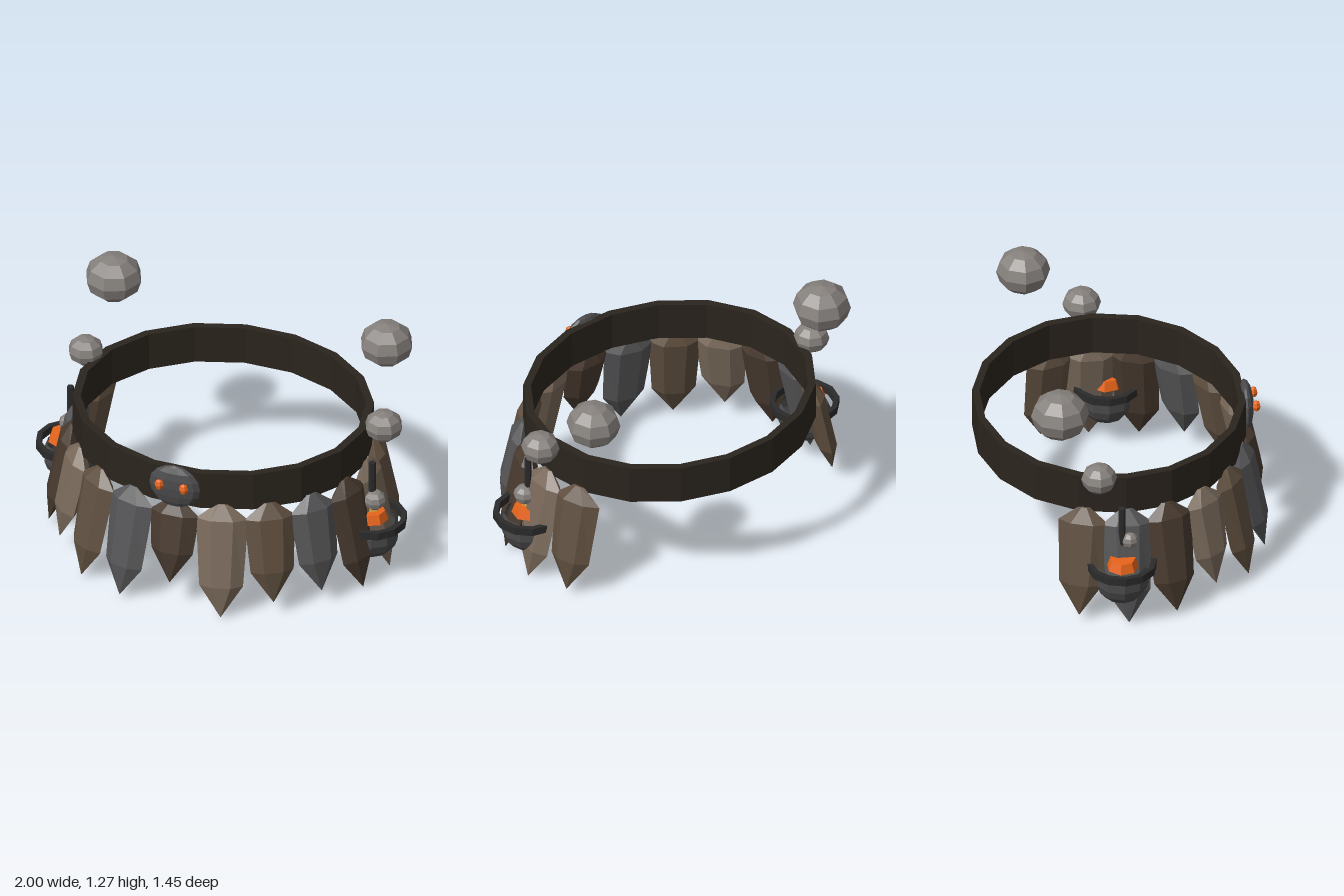
import * as THREE from 'three';

const mat = (color) => new THREE.MeshStandardMaterial({ color, flatShading: true, side: THREE.DoubleSide });
const M = {
  leather: mat(0x2a241d), iron: mat(0x2b2b2b), stone: mat(0x4a4a4c), smoke: mat(0x85807c),
  ember: mat(0xe8641b), flame: mat(0xe0a040),
};
// plate colours repeat around the belt
const plateMats = [mat(0x483a2f), mat(0x79695a), mat(0x5f4f3f), mat(0x555557)];

function add(parent, name, geometry, material, x = 0, y = 0, z = 0) {
  const mesh = new THREE.Mesh(geometry, material);
  mesh.name = name;
  mesh.position.set(x, y, z);
  parent.add(mesh);
  return mesh;
}

// faceted ball, squashed by sx, sy, sz
function ball(parent, name, material, [x, y, z], [sx, sy, sz], segs = 8, rings = 6) {
  add(parent, name, new THREE.SphereGeometry(1, segs, rings), material, x, y, z).scale.set(sx, sy, sz);
}

// square-section ring whose outer wall is r, from y0 to y1
function ringGeometry(r, inner, y0, y1, sides, turn) {
  const profile = [[inner, y0], [r, y0], [r, y1], [inner, y1], [inner, y0]];
  return new THREE.LatheGeometry(profile.map(([a, b]) => new THREE.Vector2(a, b)), sides, turn);
}

// pointed plate: flattened hexagonal sections between two tips, hanging down from the origin
function plateGeometry(length) {
  const sections = [[0, 0.03, 0.012], [-0.08, 0.13, 0.045], [0.17 - length, 0.11, 0.045], [-length, 0.001, 0.001]];
  const outline = [[1, 0], [0.45, 1], [-0.45, 1], [-1, 0], [-0.45, -1], [0.45, -1]];
  const pos = [], index = [];
  sections.forEach(([y, w, d]) => outline.forEach(([a, b]) => pos.push(a * w, y, b * d)));
  for (let s = 0; s < 3; s++) {
    for (let i = 0; i < 6; i++) {
      const a = s * 6 + i, b = s * 6 + (i + 1) % 6;
      index.push(a, b, a + 6, b, b + 6, a + 6);
    }
  }
  for (let i = 1; i < 5; i++) index.push(0, i + 1, i);
  const g = new THREE.BufferGeometry();
  g.setAttribute('position', new THREE.Float32BufferAttribute(pos, 3));
  g.setIndex(index);
  g.computeVertexNormals();
  return g;
}

// hanging fire pot: rod, ring, bowl, embers and a puff of smoke
function firePot(name, x, z, puff) {
  const g = new THREE.Group();
  g.name = name;
  g.position.set(x, 0, z);
  add(g, 'rod', new THREE.CylinderGeometry(0.018, 0.018, 0.32, 6), M.iron, 0, 0.49, 0);
  add(g, 'potRing', ringGeometry(0.175, 0.148, 0.297, 0.338, 12, 0), M.iron);
  add(g, 'bowl', new THREE.SphereGeometry(0.137, 10, 6, 0, Math.PI * 2, Math.PI / 3, Math.PI * 2 / 3),
    M.stone, 0, 0.247, 0);
  add(g, 'embers', new THREE.CylinderGeometry(0.065, 0.082, 0.05, 7), M.ember, 0, 0.345, 0);
  add(g, 'flame', new THREE.CylinderGeometry(0.022, 0.035, 0.04, 5), M.flame, 0, 0.38, 0);
  ball(g, 'potSmoke', M.smoke, puff, [0.058, 0.052, 0.058]);
  return g;
}

export function createModel() {
  const model = new THREE.Group();
  const cz = -0.06; // centre of the belt

  // belt: eighteen-sided oval band
  const belt = add(model, 'belt', ringGeometry(0.762, 0.72, 0.58, 0.785, 18, Math.PI / 18), M.leather, 0, 0, cz);
  belt.scale.z = 0.895;

  // hanging plates around the front and sides, flaring outward
  const plates = new THREE.Group();
  plates.name = 'plates';
  model.add(plates);
  const tipHeights = [0.04, 0.01, 0.03, 0.09, 0.015, 0.02, 0.16, 0.01, 0.08, 0.09, 0.015, 0, 0.04];
  tipHeights.forEach((tip, n) => {
    const i = n - 6, a = i * Math.PI / 10;
    const flare = Math.atan2(0.125, 0.6);
    const length = (0.605 - tip) / Math.cos(flare);
    const plate = add(plates, 'plate', plateGeometry(length), plateMats[(i + 8) % 4],
      0.76 * Math.sin(a), 0.605, cz + 0.665 * Math.cos(a));
    plate.rotation.set(-flare, Math.atan2(Math.sin(a) / 0.76, Math.cos(a) / 0.68), 0, 'YXZ');
  });

  // buckle with glowing eyes
  ball(model, 'buckle', M.stone, [0, 0.69, 0.625], [0.135, 0.12, 0.04], 10, 8);
  for (const s of [-1, 1]) ball(model, 'buckleEye', M.ember, [s * 0.065, 0.712, 0.672], [0.025, 0.03, 0.022], 6, 4);

  // fire pots on both hips
  model.add(firePot('leftFirePot', 0.825, 0.022, [0.015, 0.435, 0.005]));
  const rightPot = firePot('rightFirePot', -0.825, -0.09, [0, 0.46, 0.04]);
  rightPot.getObjectByName('embers').position.set(-0.035, 0.35, 0);
  rightPot.getObjectByName('potSmoke').scale.setScalar(0.045);
  model.add(rightPot);

  // drifting smoke
  ball(model, 'smokePuff', M.smoke, [0.84, 0.80, -0.10], [0.097, 0.082, 0.097]);
  ball(model, 'smokePuff', M.smoke, [0.74, 1.08, -0.405], [0.136, 0.116, 0.136]);
  ball(model, 'smokePuff', M.smoke, [-0.785, 0.81, -0.20], [0.09, 0.077, 0.09]);
  ball(model, 'smokePuff', M.smoke, [-0.707, 1.15, -0.387], [0.146, 0.124, 0.146]);
  return model;
}
